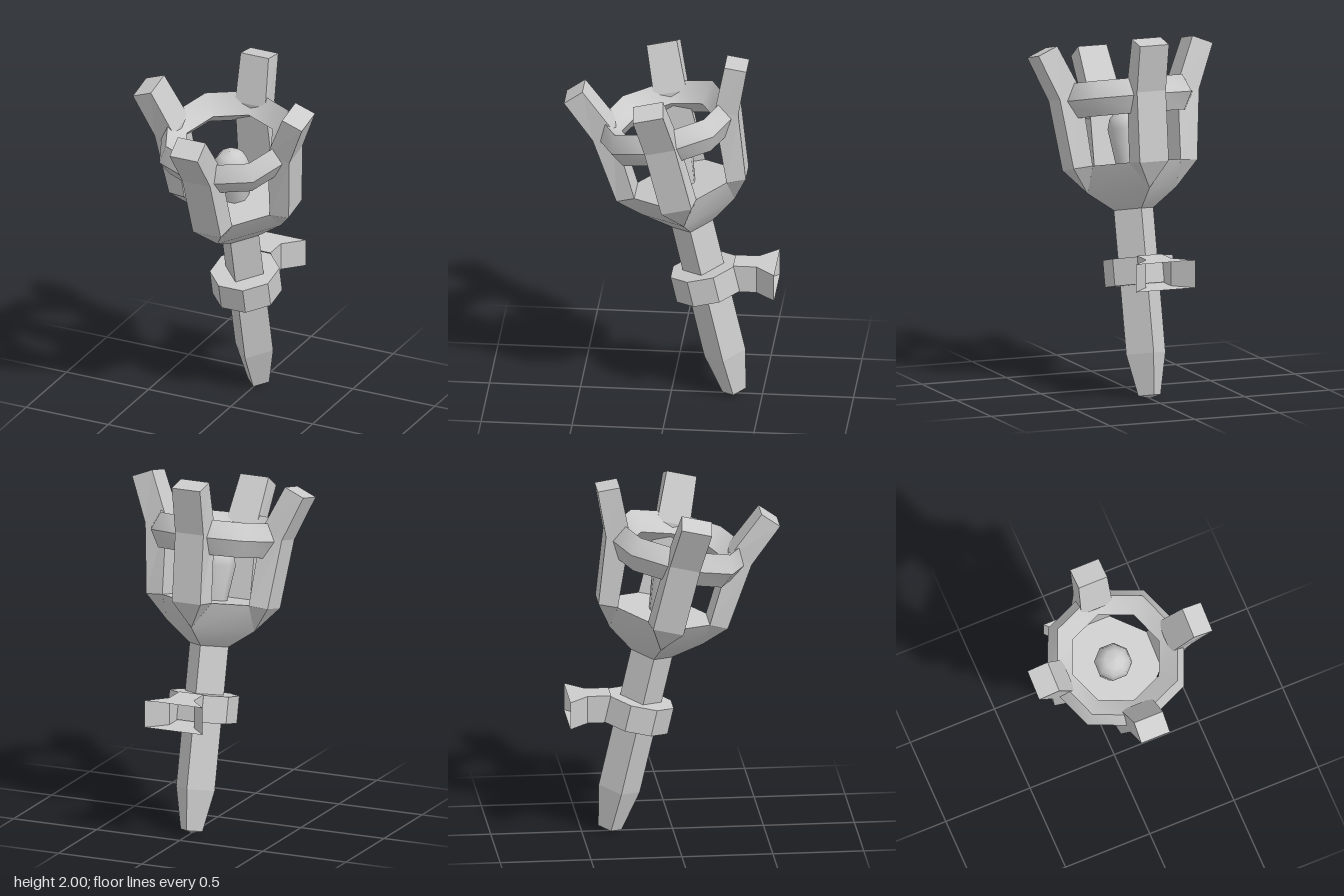
import * as THREE from 'three';
import { toCreasedNormals } from 'three/addons/utils/BufferGeometryUtils.js';

const flat = new THREE.MeshStandardMaterial({ color: 0xcccccc, flatShading: true });
const smooth = new THREE.MeshStandardMaterial({ color: 0xcccccc });
const open = new THREE.MeshStandardMaterial({ color: 0xcccccc, flatShading: true, side: THREE.DoubleSide });

function add(parent, name, geometry, material) {
  const mesh = new THREE.Mesh(geometry, material);
  mesh.name = name;
  parent.add(mesh);
  return mesh;
}

// Skin a list of cross-sections (each a ring of [x, y, z]), optionally capped
function loft(rings, capped) {
  const pos = [];
  const tri = (a, b, c) => {
    const same = (p, q) => p.every((v, i) => Math.abs(v - q[i]) < 1e-6);
    if (!same(a, b) && !same(b, c) && !same(c, a)) pos.push(...a, ...b, ...c);
  };
  const n = rings[0].length;
  for (let k = 0; k < rings.length - 1; k++) {
    const a = rings[k], b = rings[k + 1];
    for (let i = 0; i < n; i++) {
      const j = (i + 1) % n;
      tri(a[i], a[j], b[j]);
      tri(a[i], b[j], b[i]);
    }
  }
  if (capped) {
    const first = rings[0], last = rings[rings.length - 1];
    for (let i = 1; i < n - 1; i++) {
      tri(first[0], first[i + 1], first[i]);
      tri(last[0], last[i], last[i + 1]);
    }
  }
  const g = new THREE.BufferGeometry();
  g.setAttribute('position', new THREE.Float32BufferAttribute(pos, 3));
  g.computeVertexNormals();
  return g;
}

function lathe(profile, sides, phi = 0) {
  return new THREE.LatheGeometry(profile.map(([r, y]) => new THREE.Vector2(r, y)), sides, phi);
}

// Four-fold ring: two points per side, h is half the width of the flat (0 = diamond)
function fourSided(r, h, y) {
  const ring = [];
  for (let k = 0; k < 4; k++) {
    const c = Math.round(Math.cos(k * Math.PI / 2)), s = Math.round(Math.sin(k * Math.PI / 2));
    for (const e of [-h, h]) ring.push([r * s + e * c, y, r * c - e * s]);
  }
  return ring;
}

// Prong section: outer and inner [radius, height, half width]
function prongSection([ro, yo, ho], [ri, yi, hi]) {
  return [[-ho, yo, ro], [ho, yo, ro], [hi, yi, ri], [-hi, yi, ri]];
}

export function createModel() {
  const model = new THREE.Group();
  model.name = 'wallTorch';

  // Everything but the wall bracket leans forward
  const torch = new THREE.Group();
  torch.name = 'torch';
  torch.position.set(0, 0, -0.35);
  torch.rotation.x = 0.227;
  model.add(torch);

  // Square shaft with tapered foot
  add(torch, 'shaft', lathe([[0, 0.005], [0.066, 0.022], [0.116, 0.252], [0.117, 1.06]], 4), flat);

  // Collar around the shaft
  const collar = new THREE.CylinderGeometry(0.192, 0.192, 0.15, 8);
  collar.rotateY(Math.PI / 8);
  collar.translate(0, 0.705, 0);
  add(torch, 'collar', collar, flat);

  // Bowl opening from the shaft's diamond to an eight-sided floor
  const bowl = loft([fourSided(0.117, 0, 1.045), fourSided(0.262, 0, 1.148), fourSided(0.26, 0.105, 1.295)], true);
  add(torch, 'bowl', toCreasedNormals(bowl, 0.6), smooth);

  // Four bent prongs
  const prong = loft([
    prongSection([0.262, 1.148, 0], [0.26, 1.294, 0.105]),
    prongSection([0.365, 1.287, 0.085], [0.26, 1.295, 0.105]),
    prongSection([0.411, 1.671, 0.085], [0.285, 1.71, 0.092]),
    prongSection([0.515, 1.917, 0.085], [0.4, 1.964, 0.085]),
  ], true);
  for (let k = 0; k < 4; k++) {
    add(torch, 'prong' + (k + 1), prong, flat).rotation.y = k * Math.PI / 2;
  }

  // Eight-sided hoop with diamond section
  const hoop = lathe([[0.352, 1.562], [0.405, 1.658], [0.357, 1.755], [0.255, 1.66], [0.352, 1.562]], 8);
  add(torch, 'hoop', toCreasedNormals(hoop, 0.85), smooth);

  // Round-topped burner knob
  const knob = lathe([[0.075, 1.285], [0.105, 1.49], [0.09, 1.545], [0.055, 1.582], [0, 1.595]], 8, Math.PI / 8);
  add(torch, 'burnerKnob', knob, smooth);

  // Flared wall bracket, open at the wall
  const bracketSection = (w, z) => [[w, 0.65, z], [-w, 0.65, z], [-w, 0.804, z], [w, 0.804, z]];
  const bracket = loft([bracketSection(0.073, -0.345), bracketSection(0.073, -0.475), bracketSection(0.175, -0.58)], false);
  add(model, 'wallBracket', bracket, open);

  return model;
}
